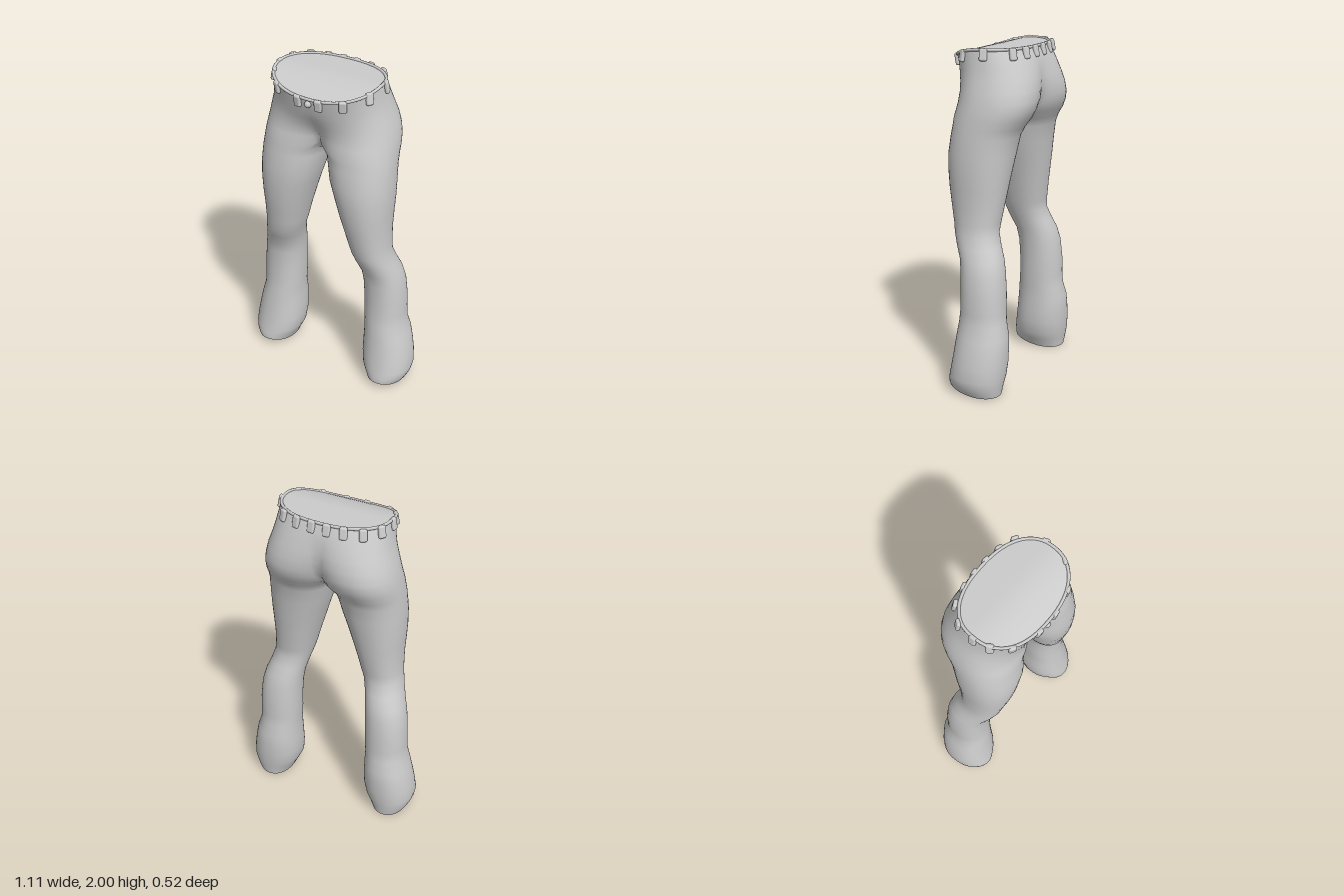
import * as THREE from 'three';
import { mergeVertices } from 'three/addons/utils/BufferGeometryUtils.js';
import { RoundedBoxGeometry } from 'three/addons/geometries/RoundedBoxGeometry.js';

const N = 36, M = 12;             // points on the outer and inner arc of a leg ring
const A = THREE.MathUtils.degToRad(55); // how far the outer arc wraps inwards
const lerp = THREE.MathUtils.lerp;
const pw = (v, p) => Math.sign(v) * Math.abs(v) ** p;

// Hips: y, outer x, front z, back depth, leg-likeness at front and back, front droop
const HIPS = [
  [1.985, .32, .252, .182, 0, 0, .07],
  [1.94, .326, .243, .207, 0, .05, .07],
  [1.88, .336, .232, .232, .03, .2, .06],
  [1.82, .35, .222, .252, .1, .35, .045],
  [1.76, .37, .212, .264, .25, .5, .03],
  [1.70, .385, .208, .264, .5, .68, .02],
  [1.65, .395, .208, .25, .75, .85, .01],
  [1.60, .402, .211, .222, 1, 1, 0],
];
// Leg: y, inner x, outer x, front z, back depth
const LEG = [
  [1.55, .012, .406, .215, .19], [1.50, .025, .41, .222, .167], [1.40, .047, .415, .234, .15],
  [1.30, .08, .415, .23, .135], [1.20, .11, .41, .22, .12], [1.10, .14, .405, .203, .105],
  [1.00, .165, .408, .182, .09], [.94, .184, .413, .172, .085], [.87, .205, .43, .148, .11],
  [.80, .22, .455, .115, .138], [.72, .229, .475, .102, .155], [.60, .235, .486, .099, .165],
  [.50, .236, .489, .1, .165], [.43, .243, .491, .107, .17], [.35, .242, .515, .116, .189],
  [.27, .24, .533, .125, .191], [.19, .24, .547, .136, .19], [.11, .252, .554, .148, .183],
  [.06, .274, .544, .155, .174], [.025, .29, .53, .158, .169], [0, .3, .517, .158, .165],
];

const rimY = (z) => 1.985 - .07 * Math.max(0, z / .252) ** 2;
const hemLift = (z) => .042 * ((z + .165) / .323) ** 2;

// Point on a rounded leg section at angle phi (0 = front, 90 degrees = outside)
function legPoint(phi, cx, hi, ho, front, back) {
  const s = pw(Math.sin(phi), .92), c = pw(Math.cos(phi), .92);
  return [cx + s * (s > 0 ? ho : hi), (front - back) / 2 + c * (front + back) / 2];
}

function hipRing([y, w, front, back, kf, kb, droop]) {
  return Array.from({ length: N + 1 }, (_, i) => {
    const u = i / N, t = u * Math.PI, k = lerp(kf, kb, u);
    const tx = w * pw(Math.sin(t), .85);
    const tz = (front - back) / 2 + pw(Math.cos(t), .85) * (front + back) / 2;
    const cx = w / 2, hi = cx / pw(Math.sin(A), .92);
    const [lx, lz] = legPoint(-A + u * (Math.PI + 2 * A), cx, hi, w / 2, front, back);
    const x = i === 0 || i === N ? 0 : Math.max(0, lerp(tx, lx, k)), z = lerp(tz, lz, k);
    return new THREE.Vector3(x, y - droop * Math.max(0, z / front) ** 2, z);
  });
}

function legRing([y, inner, outer, front, back]) {
  const cx = (inner + outer) / 2, h = (outer - inner) / 2;
  return Array.from({ length: N + M }, (_, i) => {
    const phi = i <= N ? -A + (i / N) * (Math.PI + 2 * A)
      : Math.PI + A + ((i - N) / M) * (Math.PI - 2 * A);
    const [x, z] = legPoint(phi, cx, h, h, front, back);
    return new THREE.Vector3(x, y + hemLift(z) * Math.max(0, 1 - y / .12), z);
  });
}

// Joins successive rings with quads, for one side or its mirror image
function loft(out, rings, closed, side) {
  for (let j = 0; j + 1 < rings.length; j++) {
    const p = rings[j], q = rings[j + 1], n = p.length;
    for (let i = 0; i < (closed ? n : n - 1); i++) {
      const k = (i + 1) % n;
      for (const tri of [[p[i], q[i], q[k]], [p[i], q[k], p[k]]]) {
        if (side < 0) tri.reverse();
        for (const v of tri) out.push(v.x * side, v.y, v.z);
      }
    }
  }
}

function smooth(positions) {
  const g = new THREE.BufferGeometry();
  g.setAttribute('position', new THREE.Float32BufferAttribute(positions, 3));
  const merged = mergeVertices(g, 1e-4);
  merged.computeVertexNormals();
  return merged;
}

// Concentric rings shrinking to a centre, following a height rule
function capRings(ring, cx, cz, height) {
  return [0, .2, .4, .6, .8, 1].map((s) => ring.map((v) => {
    const x = lerp(cx, v.x, s), z = lerp(cz, v.z, s);
    return new THREE.Vector3(x, height(z, s), z);
  }));
}

export function createModel() {
  const group = new THREE.Group();
  const material = new THREE.MeshStandardMaterial({ color: 0xcccccc, side: THREE.DoubleSide });
  const add = (name, geometry, parent = group) => {
    const mesh = new THREE.Mesh(geometry, material);
    mesh.name = name;
    parent.add(mesh);
    return mesh;
  };

  // Hips and both legs as one smooth skin; the crotch seam joins the halves
  const hips = HIPS.map(hipRing);
  const last = hips[hips.length - 1], f = last[0], b = last[N];
  const seam = Array.from({ length: M - 1 }, (_, i) => {
    const u = (i + 1) / M;
    return new THREE.Vector3(0, 1.6 - .065 * Math.sin(u * Math.PI) ** .7, lerp(b.z, f.z, u));
  });
  const legs = [[...last, ...seam], ...LEG.map(legRing)];
  const skin = [];
  for (const side of [1, -1]) {
    loft(skin, hips, false, side);
    loft(skin, legs, true, side);
  }
  add('trousers', smooth(skin));

  // Curved surface closing the waist
  const rim = hips[0], top = [];
  for (const side of [1, -1]) loft(top, capRings(rim, 0, .03, rimY), false, side);
  add('waistCap', smooth(top));

  // Surfaces closing the hems
  const hem = legs[legs.length - 1];
  for (const side of [1, -1]) {
    const cap = [];
    const rings = capRings(hem, .408, 0, (z, s) => hemLift(z) + .012 * (1 - s * s));
    loft(cap, rings.reverse(), true, side);
    add(side > 0 ? 'leftHemCap' : 'rightHemCap', smooth(cap));
  }

  // Rolled edge round the waist
  const mirrored = rim.slice(1, -1).reverse().map((v) => new THREE.Vector3(-v.x, v.y, v.z));
  const edge = new THREE.CatmullRomCurve3([...rim, ...mirrored], true);
  add('waistEdge', new THREE.TubeGeometry(edge, 120, .009, 8, true));

  // Belt loops, facing outwards from the waist
  const loops = new THREE.Group();
  loops.name = 'beltLoops';
  group.add(loops);
  const spots = [
    [.065, .252], [.2, .222], [.305, .125], [.327, -.02], [.235, -.155], [.14, -.185], [.045, -.194],
    [-.045, -.194], [-.14, -.185], [-.24, -.155], [-.31, -.075], [-.327, .035], [-.303, .125],
    [-.225, .208], [-.065, .252],
  ];
  const loopShape = new RoundedBoxGeometry(.044, .07, .024, 3, .011);
  for (const [x, z] of spots) {
    const loop = add('beltLoop', loopShape, loops);
    loop.position.set(x, rimY(z) - .024, z);
    loop.rotation.order = 'YXZ';
    loop.rotation.y = Math.atan2(x / .32 ** 2, (z - .035) / .217 ** 2);
    loop.rotation.x = z > .15 ? .15 : -.2;
  }

  // Front button
  add('button', new THREE.SphereGeometry(.019, 20, 14)).position.set(0, 1.885, .25);
  return group;
}
